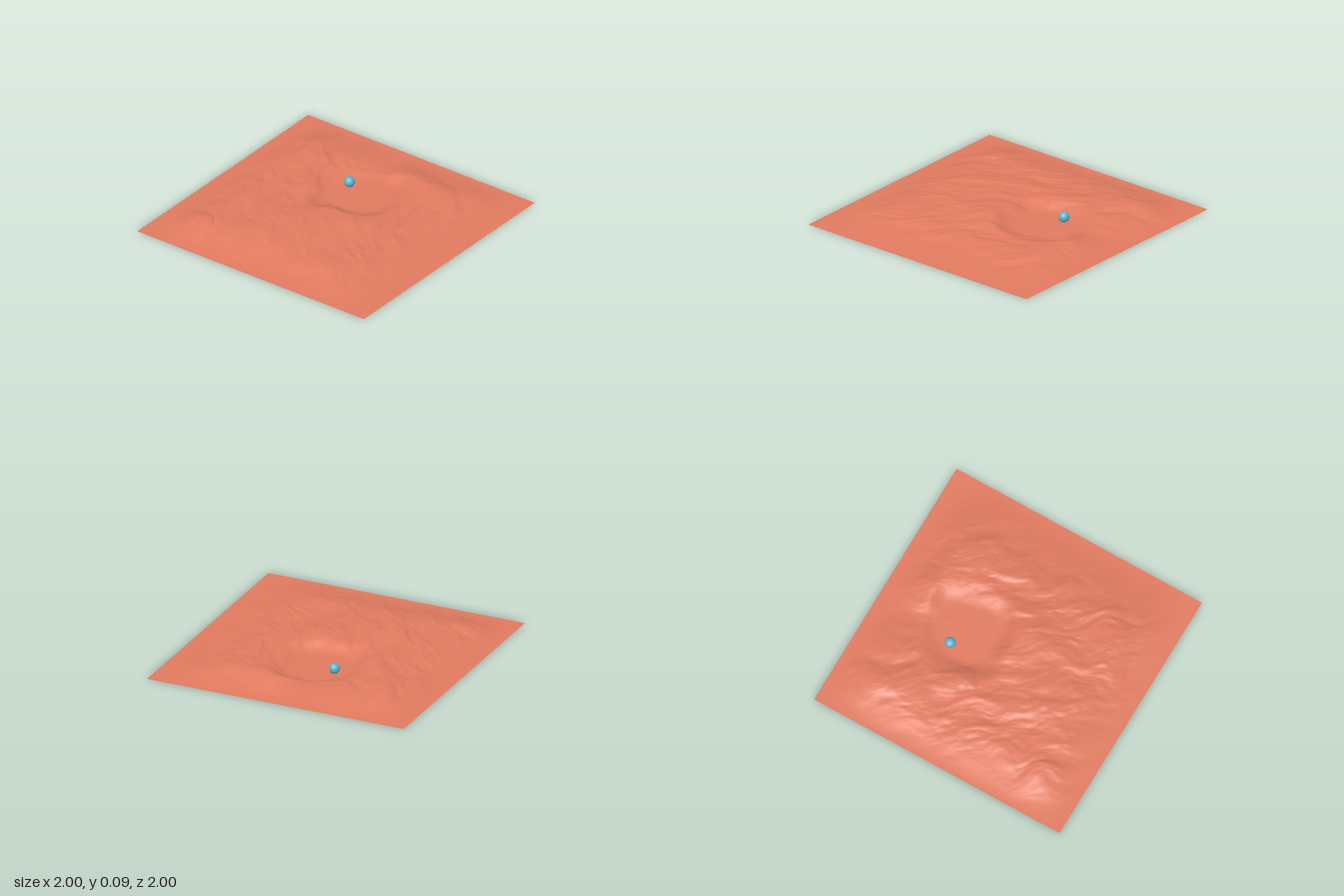
import * as THREE from 'three';

const { smoothstep, lerp } = THREE.MathUtils;

// Repeatable lattice noise in the range -1..1
function lattice(i, j) {
  let h = Math.imul(i, 374761393) + Math.imul(j, 668265263) + 1274126177;
  h = Math.imul(h ^ (h >>> 13), 1103515245);
  return (((h ^ (h >>> 16)) >>> 0) / 4294967295) * 2 - 1;
}

function noise(x, z) {
  const i = Math.floor(x), j = Math.floor(z);
  const u = smoothstep(x - i, 0, 1), v = smoothstep(z - j, 0, 1);
  return lerp(
    lerp(lattice(i, j), lattice(i + 1, j), u),
    lerp(lattice(i, j + 1), lattice(i + 1, j + 1), u), v);
}

function fractal(x, z, octaves) {
  let sum = 0, amp = 1;
  for (let k = 0; k < octaves; k++) {
    sum += amp * noise(x + k * 17.3, z - k * 9.1);
    x *= 2; z *= 2; amp *= 0.5;
  }
  return sum;
}

// Broad hills: x, z, radius, height
const hills = [
  [-0.25, -0.2, 0.24, 0.026], [-0.1, 0.2, 0.18, 0.022], [-0.6, -0.2, 0.25, 0.014],
  [0.68, 0.16, 0.16, 0.022], [0.45, -0.7, 0.2, 0.014], [-0.6, -0.65, 0.2, 0.012],
  [-0.5, 0.3, 0.25, 0.01], [0.15, -0.42, 0.16, 0.014], [0.3, 0.6, 0.2, 0.004],
];

function height(x, z) {
  // Slopes down to the four borders
  const border = smoothstep(1 - Math.abs(x), 0, 0.38)
    * smoothstep(1 - z, 0, 0.55) * smoothstep(1 + z, 0, 0.36);
  let h = 0.052;
  for (const [cx, cz, r, a] of hills) {
    h += a * Math.exp(-((x - cx) ** 2 + (z - cz) ** 2) / (r * r));
  }
  // Bowl, with a shallow outlet towards +x
  const wobble = 0.03 * fractal(x * 5, z * 5, 2);
  const bowl = 1 - smoothstep(Math.hypot(x - 0.33, z + 0.03) + wobble, 0.2, 0.4);
  const outlet = smoothstep(x, 0.3, 0.5) * Math.exp(-(((z + 0.14) / 0.17) ** 2));
  const open = Math.max(bowl, 0.6 * outlet);
  // Rough ground with warped ridges
  const wx = x + 0.05 * noise(x * 6 + 40, z * 6), wz = z + 0.05 * noise(x * 6, z * 6 + 40);
  const rough = 0.011 * fractal((wx + wz * 0.4) * 5, (wz + wx * 0.3) * 7, 5);
  return Math.max(0, border * lerp(h + rough, 0.015 + 0.1 * rough, open));
}

export function createModel() {
  const group = new THREE.Group();
  const clay = new THREE.MeshStandardMaterial({ color: 0xe07a5f, side: THREE.DoubleSide });
  clay.name = 'terracotta';
  const blue = new THREE.MeshStandardMaterial({ color: 0x5fb4cf });
  blue.name = 'sky blue';

  // Terrain sheet
  const ground = new THREE.PlaneGeometry(2, 2, 200, 200).rotateX(-Math.PI / 2);
  const pos = ground.attributes.position;
  for (let i = 0; i < pos.count; i++) pos.setY(i, height(pos.getX(i), pos.getZ(i)));
  ground.computeVertexNormals();
  const terrain = new THREE.Mesh(ground, clay);
  terrain.name = 'terrain';

  // Ball resting in the bowl
  const ball = new THREE.Mesh(new THREE.SphereGeometry(0.039, 32, 24), blue);
  ball.name = 'ball';
  ball.position.set(0.375, 0.052, -0.165);

  group.add(terrain, ball);
  return group;
}
